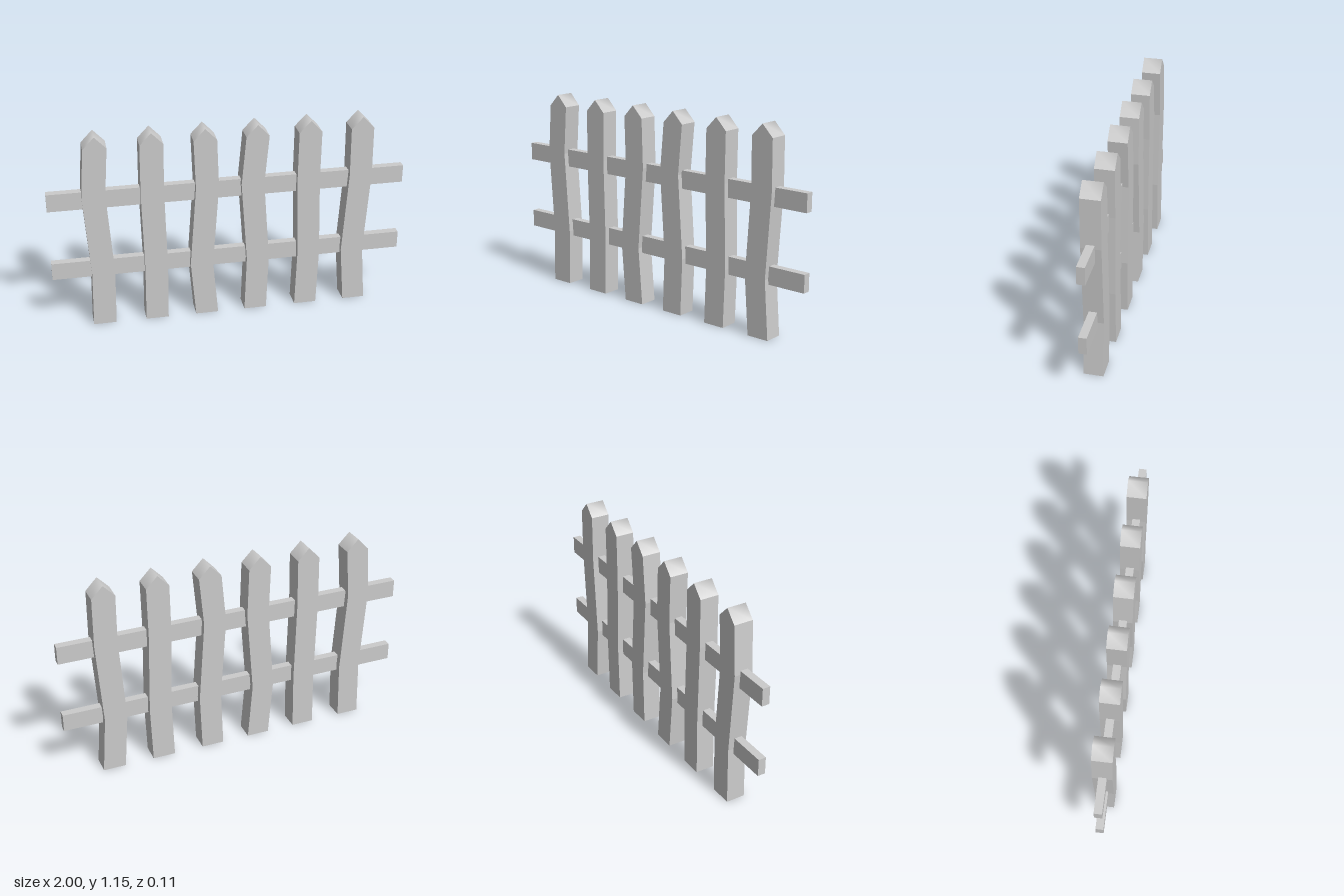
import * as THREE from 'three';
import { mergeGeometries } from 'three/addons/utils/BufferGeometryUtils.js';

const HALF_WIDTH = 0.064, HALF_DEPTH = 0.054;
const HEIGHTS = [0, 0.33, 0.8, 1.08], APEX = 1.147;

// Centre line of each picket at the four heights
const PICKETS = [
  [-0.725, -0.717, -0.748, -0.727],
  [-0.425, -0.42, -0.43, -0.426],
  [-0.136, -0.163, -0.127, -0.136],
  [0.148, 0.16, 0.127, 0.152],
  [0.446, 0.456, 0.443, 0.446],
  [0.74, 0.714, 0.743, 0.74],
];

// Wall running along outline points (counter-clockwise), spanning the depth
function wall(points) {
  const position = [], index = [];
  points.forEach(([x, y], i) => {
    position.push(x, y, HALF_DEPTH, x, y, -HALF_DEPTH);
    const a = 2 * i;
    if (i < points.length - 1) index.push(a, a + 1, a + 2, a + 1, a + 3, a + 2);
  });
  const geometry = new THREE.BufferGeometry();
  geometry.setAttribute('position', new THREE.Float32BufferAttribute(position, 3));
  geometry.setIndex(index);
  geometry.computeVertexNormals();
  return geometry;
}

// Flat broad face of a picket
function face(points) {
  const shape = new THREE.Shape(points.map(([x, y]) => new THREE.Vector2(x, y)));
  const geometry = new THREE.ShapeGeometry(shape).translate(0, 0, HALF_DEPTH);
  geometry.deleteAttribute('uv');
  return geometry;
}

// Crooked picket with a pointed top and an open foot
function picketGeometry(centres) {
  const right = centres.map((x, i) => [x + HALF_WIDTH, HEIGHTS[i]]);
  const left = centres.map((x, i) => [x - HALF_WIDTH, HEIGHTS[i]]).reverse();
  const tip = [centres[3], APEX];
  const outline = [...right, tip, ...left];
  const parts = [
    face(outline),
    face(outline.map(([x, y]) => [-x, y])).rotateY(Math.PI),
    wall([right[3], tip, left[0]]), // softly shaded point
  ];
  for (const side of [right, left]) {
    for (let i = 0; i < 3; i++) parts.push(wall([side[i], side[i + 1]]));
  }
  return mergeGeometries(parts);
}

// Rail box without its underside
function railGeometry(bottom, top) {
  const geometry = new THREE.BoxGeometry(2, top - bottom, 0.044);
  const index = Array.from(geometry.index.array);
  index.splice(18, 6);
  geometry.setIndex(index);
  geometry.clearGroups();
  return geometry.translate(0, (bottom + top) / 2, 0.002);
}

export function createModel() {
  const group = new THREE.Group();
  group.name = 'picketFence';
  const material = new THREE.MeshStandardMaterial({ color: 0xcccccc, side: THREE.DoubleSide });
  const add = (name, geometry) => {
    const mesh = new THREE.Mesh(geometry, material);
    mesh.name = name;
    group.add(mesh);
  };

  PICKETS.forEach((centres, i) => add(`picket${i + 1}`, picketGeometry(centres)));
  add('lowerRail', railGeometry(0.298, 0.398));
  add('upperRail', railGeometry(0.72, 0.822));
  return group;
}
